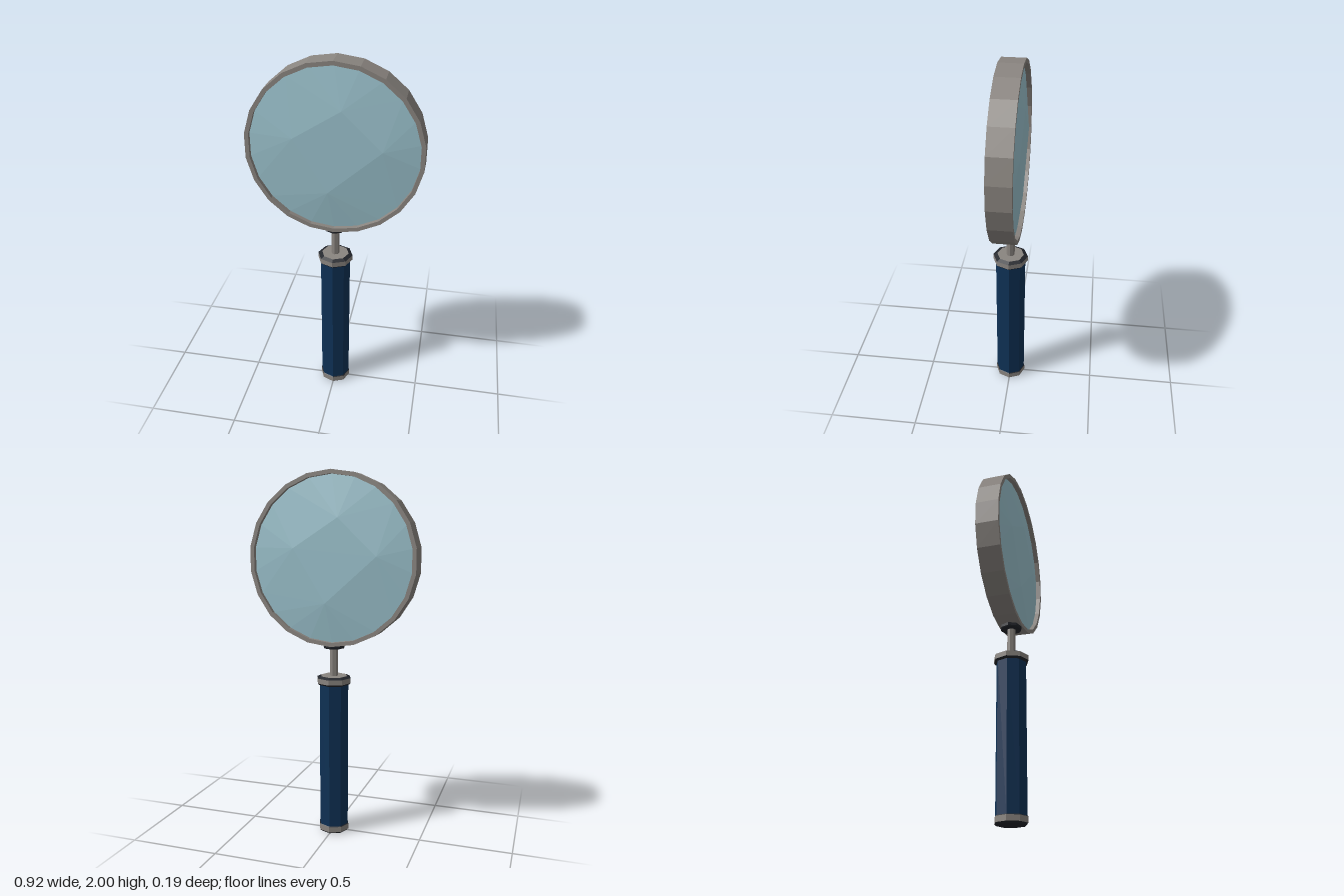
import * as THREE from 'three';
import { ConvexGeometry } from 'three/addons/geometries/ConvexGeometry.js';

const material = (name, color) =>
  new THREE.MeshStandardMaterial({ name, color, flatShading: true });

export function createModel() {
  const metal = material('warm grey metal', 0x8a8580);
  const glass = material('pale blue glass', 0x9cc3ce);
  const blue = material('navy grip', 0x0e3155);
  const dark = material('dark edging', 0x22252b);

  const model = new THREE.Group();
  model.name = 'magnifyingGlass';

  const add = (name, geometry, mat, parent = model) => {
    const mesh = new THREE.Mesh(geometry, mat);
    mesh.name = name;
    parent.add(mesh);
    return mesh;
  };
  // Faceted turned part from [radius, height] pairs, listed upwards on the outside
  const turned = (profile, sides = 8) =>
    new THREE.LatheGeometry(profile.map(([r, y]) => new THREE.Vector2(r, y)), sides);

  // Octagonal grip
  add('grip', turned([[0.083, 0.03], [0.083, 0.875]]), blue);

  // Bottom cap: dark underside and edges around a metal band
  const bottomCap = new THREE.Group();
  bottomCap.name = 'bottomCap';
  add('bottomCapUnderside', turned([[0, 0], [0.078, 0], [0.087, 0.009]]), dark, bottomCap);
  add('bottomCapBand', turned([[0.087, 0.009], [0.087, 0.039]]), metal, bottomCap);
  add('bottomCapEdge', turned([[0.087, 0.039], [0.08, 0.046], [0, 0.046]]), dark, bottomCap);
  model.add(bottomCap);

  // Top cap: metal band between dark bevels, with a metal top face
  const topCap = new THREE.Group();
  topCap.name = 'topCap';
  add('topCapLowerEdge', turned([[0, 0.855], [0.088, 0.855], [0.097, 0.864]]), dark, topCap);
  add('topCapBand', turned([[0.097, 0.864], [0.097, 0.892]]), metal, topCap);
  add('topCapUpperEdge', turned([[0.097, 0.892], [0.075, 0.902]]), dark, topCap);
  add('topCapFace', turned([[0.075, 0.902], [0, 0.902]]), metal, topCap);
  model.add(topCap);

  // Stem and the collar where it meets the rim
  add('stem', turned([[0.023, 0.895], [0.023, 1.075]]), metal);
  add('collar', turned([[0, 1.056], [0.056, 1.056], [0.06, 1.062], [0.06, 1.08], [0, 1.08]]), dark);

  // Lens head
  const head = new THREE.Group();
  head.name = 'lensHead';
  head.position.y = 1.535;
  model.add(head);

  const sides = 22, outer = 0.465, inner = 0.443, half = 0.063;
  const rim = add('rim', turned(
    [[outer, -half], [outer, half], [inner, half], [inner, -half], [outer, -half]], sides), metal, head);
  rim.rotation.x = Math.PI / 2;

  // Lens: a crooked four-sided facet on each face, sloping out to the rim
  const points = [];
  for (let i = 0; i < sides; i++) {
    const a = (i / sides) * Math.PI * 2;
    for (const z of [-0.038, 0.038]) {
      points.push(new THREE.Vector3(Math.sin(a) * inner, Math.cos(a) * inner, z));
    }
  }
  for (const [x, y] of [[-0.21, 0.06], [0.04, 0.22], [0.25, 0.02], [-0.03, -0.23]]) {
    for (const s of [-1, 1]) points.push(new THREE.Vector3(x * s, y, 0.068 * s));
  }
  add('lens', new ConvexGeometry(points), glass, head);

  return model;
}
